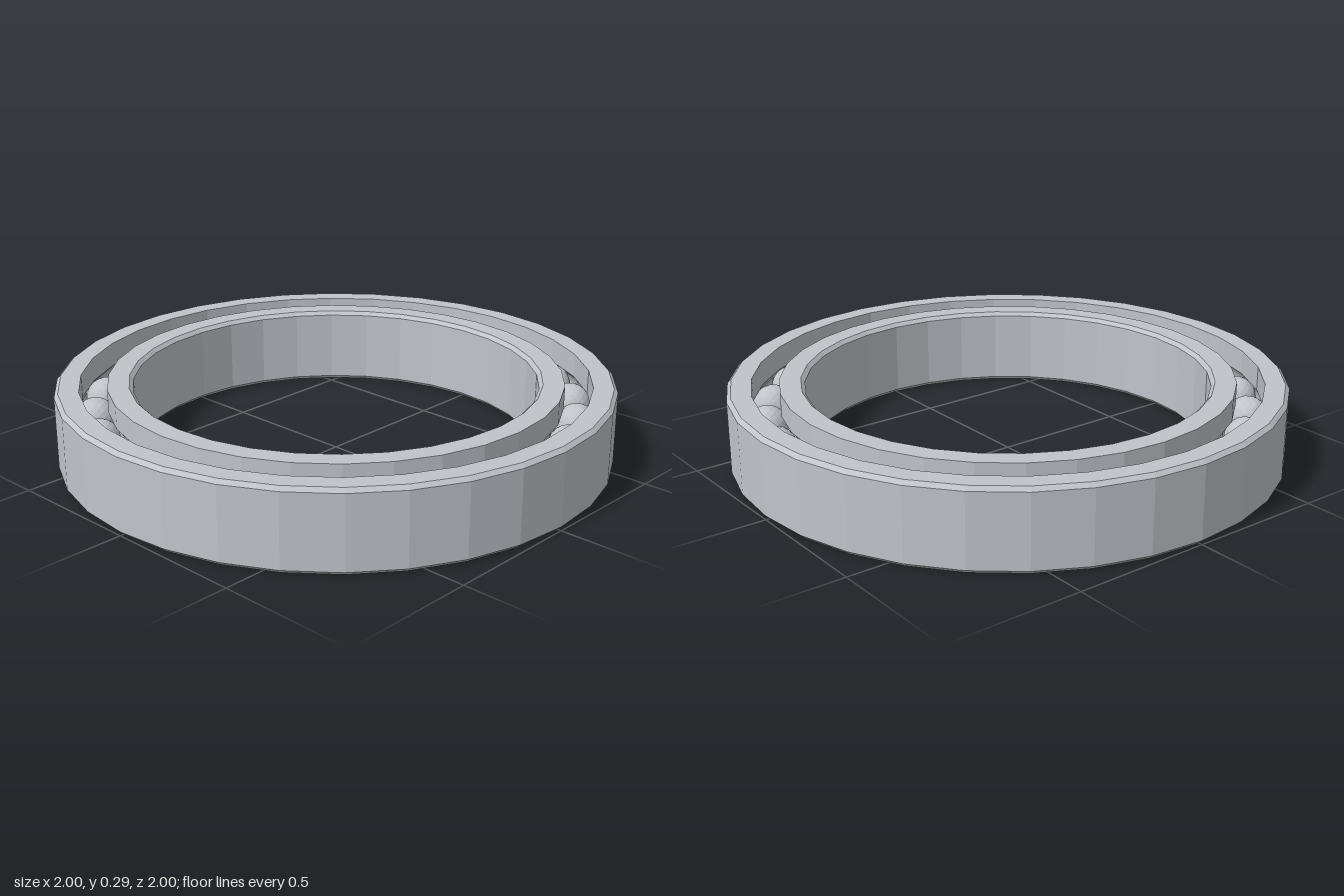
import * as THREE from 'three';

const HEIGHT = 0.29, MID = HEIGHT / 2;
const BALL_COUNT = 26, BALL_RADIUS = 0.075, PITCH = 0.863;
const RING_SIDES = 32, BEVEL = 0.014;

// Faceted copy of a geometry
function faceted(geometry) {
  const flat = geometry.index ? geometry.toNonIndexed() : geometry;
  flat.computeVertexNormals();
  return flat;
}

// Race ring: plain bevelled wall on one side, ball groove on the other
function raceRing(wall, track) {
  const s = Math.sign(wall - track); // +1: wall faces outwards
  const points = [
    [wall - s * BEVEL, 0], [wall, BEVEL],
    [wall, HEIGHT - BEVEL], [wall - s * BEVEL, HEIGHT],
    [track, HEIGHT],
  ];
  const grooveRadius = BALL_RADIUS + 0.002;
  const spread = Math.acos(Math.abs(track - PITCH) / grooveRadius);
  for (let i = 0; i <= 8; i++) {
    const a = spread * (1 - i / 4);
    points.push([PITCH + s * grooveRadius * Math.cos(a), MID + grooveRadius * Math.sin(a)]);
  }
  points.push([track, 0], [wall - s * BEVEL, 0]);
  if (s < 0) points.reverse(); // keep faces pointing out of the metal
  const profile = points.map(([r, y]) => new THREE.Vector2(r, y));
  return faceted(new THREE.LatheGeometry(profile, RING_SIDES));
}

export function createModel() {
  const model = new THREE.Group();
  model.name = 'ballBearing';

  const steel = new THREE.MeshStandardMaterial({ color: 0xc0c4ca });
  steel.name = 'steel';

  const add = (name, geometry, parent = model) => {
    const mesh = new THREE.Mesh(geometry, steel);
    mesh.name = name;
    parent.add(mesh);
    return mesh;
  };

  // Races
  add('outerRace', raceRing(1, 0.914));
  add('innerRace', raceRing(0.726, 0.816));

  // Balls
  const balls = new THREE.Group();
  balls.name = 'balls';
  model.add(balls);
  const ballGeometry = faceted(new THREE.IcosahedronGeometry(BALL_RADIUS, 3));
  for (let i = 0; i < BALL_COUNT; i++) {
    const a = (i / BALL_COUNT) * Math.PI * 2;
    const ball = add('ball' + (i + 1), ballGeometry, balls);
    ball.position.set(PITCH * Math.cos(a), MID, PITCH * Math.sin(a));
    ball.rotation.y = -a;
  }

  return model;
}
